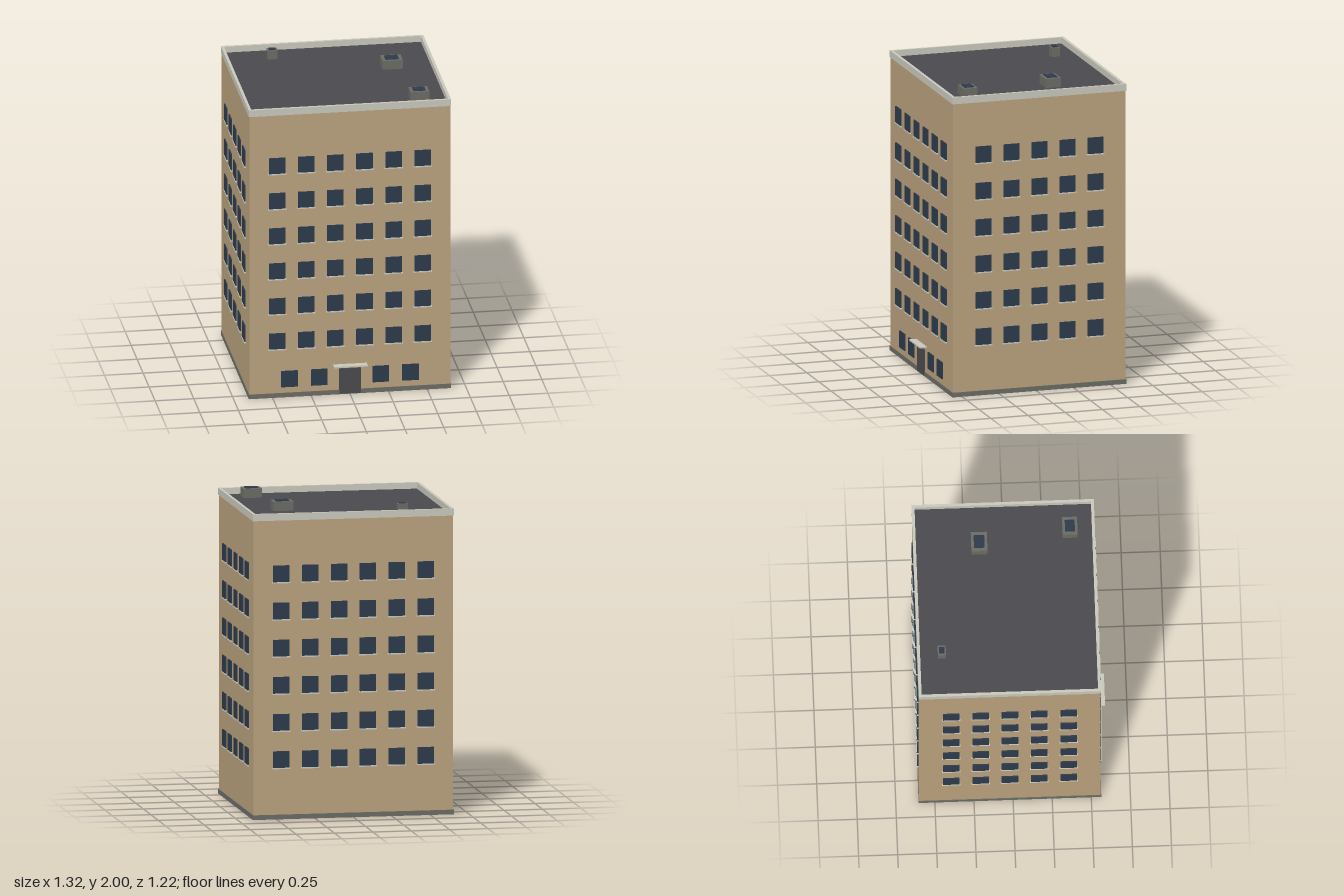
import * as THREE from 'three';

const material = (name, color) => new THREE.MeshStandardMaterial({ name, color });

export function createModel() {
  const wall = material('tan wall', 0xb8a07c);
  const trim = material('pale trim', 0xc8c7bc);
  const dark = material('dark roof', 0x4a494d);
  const stone = material('grey stone', 0x6b6b65);
  const glass = material('navy glass', 0x2d3a4b);

  const HX = 0.65, HZ = 0.58, CZ = -0.02; // half extents and centre of the block
  const ROOF = 1.935, TOP = 1.975;

  const model = new THREE.Group();
  model.name = 'apartmentBlock';

  const box = (name, mat, w, h, d, x, y, z, parent = model) => {
    const mesh = new THREE.Mesh(new THREE.BoxGeometry(w, h, d), mat);
    mesh.name = name;
    mesh.position.set(x, y, z);
    parent.add(mesh);
    return mesh;
  };

  // Main block, plinth and roof deck
  box('walls', wall, HX * 2, 1.91, HZ * 2, 0, 0.975, CZ);
  box('plinth', stone, HX * 2 + 0.008, 0.03, HZ * 2 + 0.008, 0, 0.015, CZ);
  box('roofDeck', dark, HX * 2 - 0.01, 0.01, HZ * 2 - 0.01, 0, ROOF - 0.005, CZ);

  // Parapet: rectangular ring around the roof
  const rect = (path, hx, hz) => path.moveTo(-hx, -hz).lineTo(hx, -hz).lineTo(hx, hz).lineTo(-hx, hz).closePath();
  const ring = new THREE.Shape();
  rect(ring, HX + 0.004, HZ + 0.003);
  const opening = new THREE.Path();
  rect(opening, HX - 0.014, HZ - 0.016);
  ring.holes.push(opening);
  const parapetGeometry = new THREE.ExtrudeGeometry(ring, { depth: TOP - 1.93, bevelEnabled: false });
  parapetGeometry.rotateX(-Math.PI / 2);
  const parapet = new THREE.Mesh(parapetGeometry, trim);
  parapet.name = 'parapet';
  parapet.position.set(0, 1.93, CZ);
  model.add(parapet);

  // Window grids: each facade is built facing +z, then turned into place
  const facade = (name, columns, distance, angle) => {
    const group = new THREE.Group();
    group.name = name;
    group.position.z = CZ;
    group.rotation.y = angle;
    model.add(group);
    for (let row = 0; row < 6; row++) {
      for (let col = 0; col < columns; col++) {
        const x = (col - (columns - 1) / 2) * 0.188;
        const y = 0.385 + row * 0.24;
        box('window', glass, 0.106, 0.11, 0.008, x, y, distance + 0.004, group);
        box('windowSill', trim, 0.118, 0.008, 0.011, x, y - 0.056, distance + 0.0055, group);
      }
    }
    return group;
  };
  const front = facade('frontWindows', 6, HZ, 0);
  facade('backWindows', 6, HZ, Math.PI);
  facade('leftWindows', 5, HX, Math.PI / 2);
  facade('rightWindows', 5, HX, -Math.PI / 2);

  // Ground floor windows beside the entrance
  for (const x of [-0.391, -0.2, 0.2, 0.391]) {
    box('groundWindow', glass, 0.106, 0.11, 0.008, x, 0.125, HZ + 0.004, front);
  }

  // Entrance door and canopy
  box('door', dark, 0.138, 0.172, 0.008, 0, 0.09, HZ + 0.004, front);
  box('canopy', trim, 0.218, 0.009, 0.048, 0, 0.2, HZ + 0.024, front);

  // Rooftop skylights: [x, z, width, depth]
  for (const [x, z, w, d] of [
    [-0.348, -0.445, 0.066, 0.052],
    [0.383, -0.18, 0.131, 0.103],
    [0.47, 0.403, 0.121, 0.096],
  ]) {
    const skylight = new THREE.Group();
    skylight.name = 'skylight';
    skylight.position.set(x, ROOF, z);
    model.add(skylight);
    box('skylightCurb', stone, w, 0.06, d, 0, 0.03, 0, skylight);
    box('skylightGlass', glass, w * 0.65, 0.005, d * 0.66, 0, 0.0625, 0, skylight);
  }

  return model;
}
